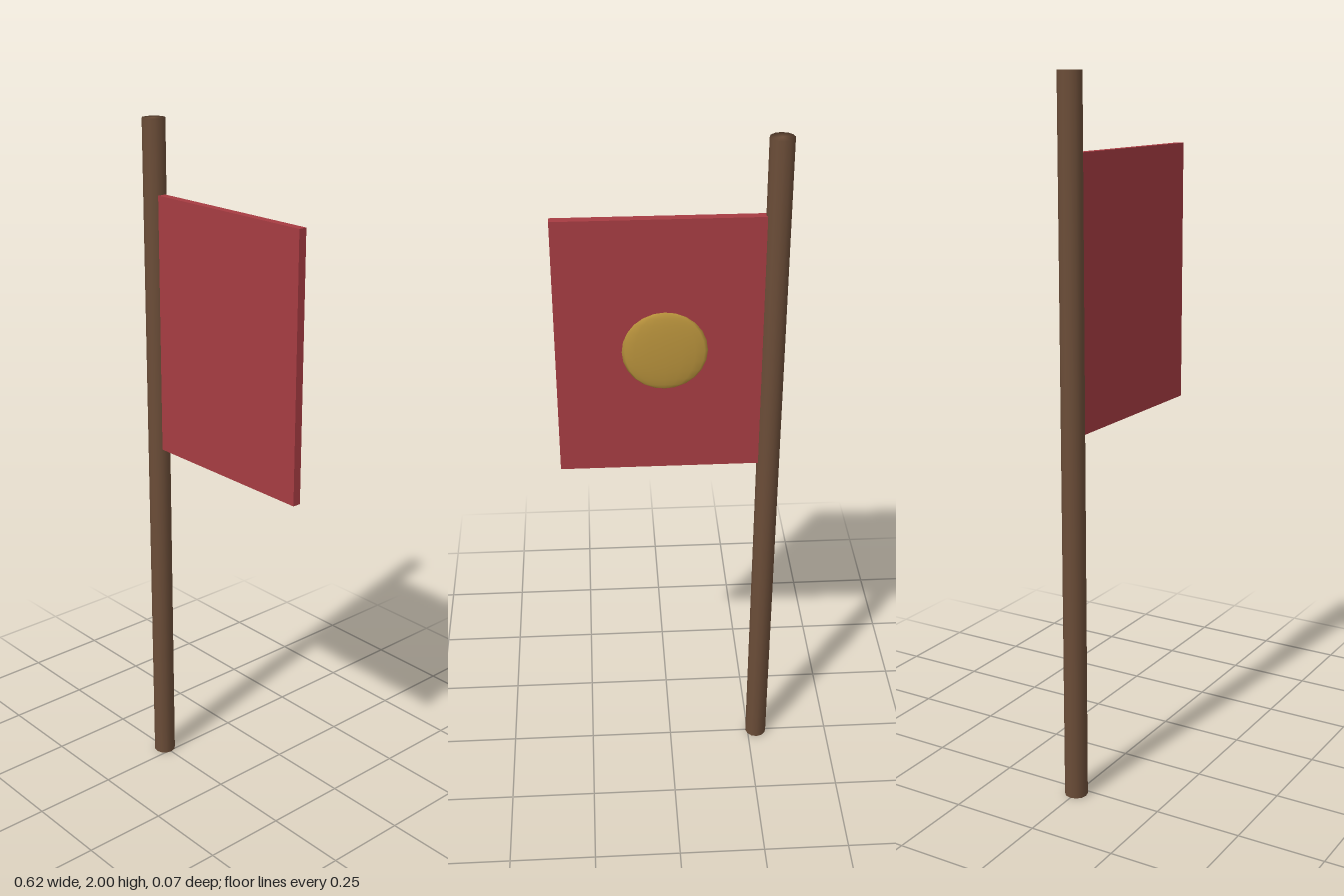
import * as THREE from 'three';
import { mergeVertices } from 'three/addons/utils/BufferGeometryUtils.js';

const POLE_X = -0.276, POLE_R = 0.0325, FLAG_END = 0.308;

// Weld a geometry so its normals run smoothly over every edge
function welded(geometry) {
  geometry.deleteAttribute('normal');
  geometry.deleteAttribute('uv');
  const merged = mergeVertices(geometry, 1e-5);
  merged.computeVertexNormals();
  return merged;
}

function part(name, geometry, color, x, y, z) {
  const mesh = new THREE.Mesh(geometry, new THREE.MeshStandardMaterial({ color }));
  mesh.name = name;
  mesh.position.set(x, y, z);
  return mesh;
}

export function createModel() {
  const group = new THREE.Group();
  group.name = 'bannerOnPole';
  const flagWidth = FLAG_END - POLE_X;
  const flagX = (FLAG_END + POLE_X) / 2;
  const flagY = 1.422;

  // Wooden pole
  group.add(part('pole', welded(new THREE.CylinderGeometry(POLE_R, POLE_R, 2, 12)), 0x6b4d38, POLE_X, 1, 0));

  // Stiff cloth panel, running from the pole's axis
  group.add(part('flag', new THREE.BoxGeometry(flagWidth, 0.746, 0.024), 0xa63c42, flagX, flagY, 0));

  // Flattened gold boss on the back of the cloth
  const boss = new THREE.SphereGeometry(0.115, 16, 12);
  boss.scale(1, 1, 0.125);
  group.add(part('emblem', boss, 0xb8923c, flagX, flagY, -0.021));

  return group;
}
